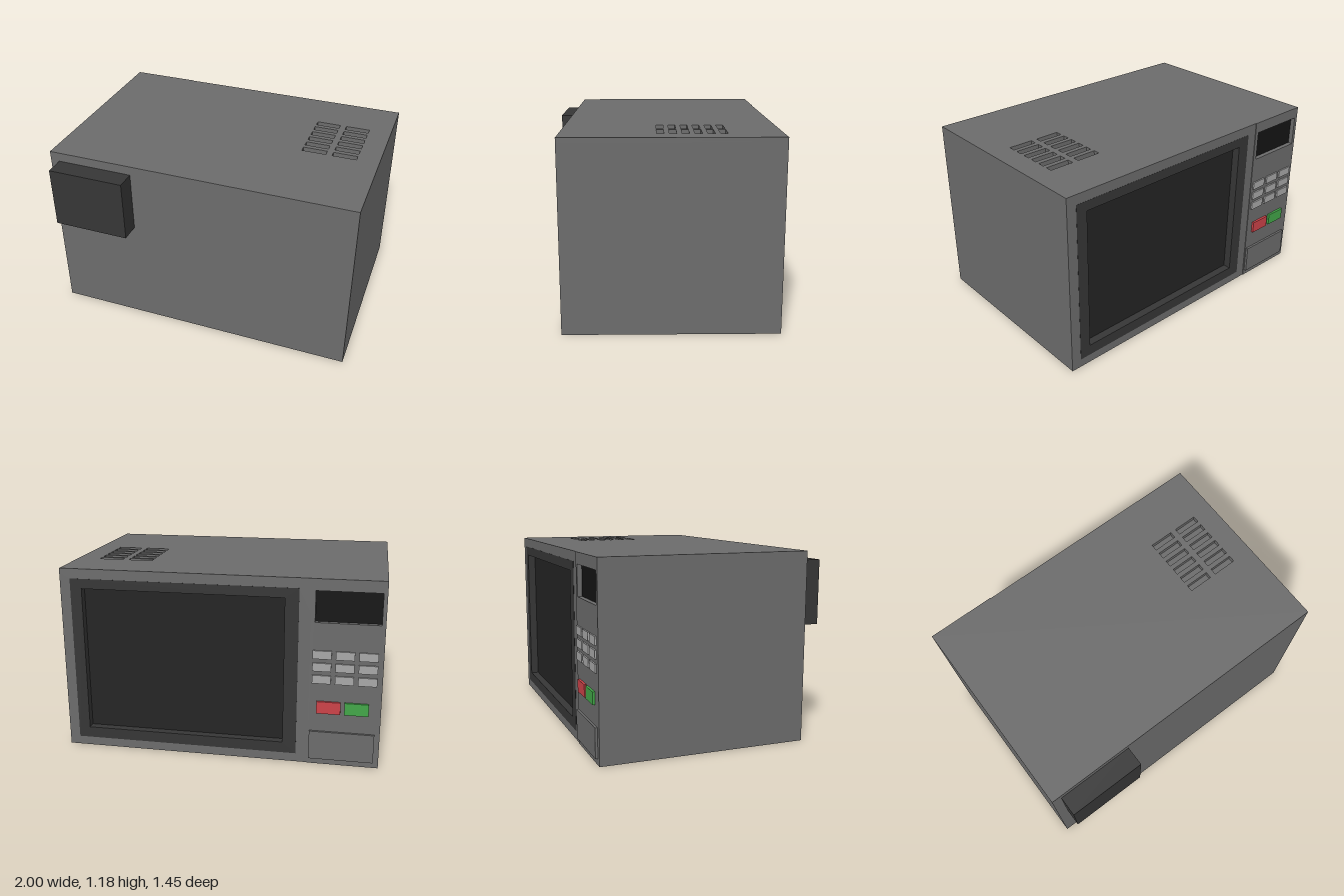
import * as THREE from 'three';

const paint = (color) => new THREE.MeshStandardMaterial({ color });
const BODY = paint(0x6c6c6c), DARK = paint(0x363636), GLASS = paint(0x242424);
const SCREEN = paint(0x141414), KEY = paint(0xa8a8a8);
const RED = paint(0xcc4248), GREEN = paint(0x42a648);

// Box given by its limits on each axis
function box(name, mat, [x0, x1], [y0, y1], [z0, z1]) {
  const mesh = new THREE.Mesh(new THREE.BoxGeometry(x1 - x0, y1 - y0, z1 - z0), mat);
  mesh.position.set((x0 + x1) / 2, (y0 + y1) / 2, (z0 + z1) / 2);
  mesh.name = name;
  return mesh;
}

// Rectangular plate with rectangular holes; rectangles are [x0, x1, y0, y1]
function plate(name, mat, rect, holes, depth) {
  const trace = (path, [x0, x1, y0, y1]) => {
    path.moveTo(x0, y0);
    path.lineTo(x1, y0);
    path.lineTo(x1, y1);
    path.lineTo(x0, y1);
    path.closePath();
    return path;
  };
  const shape = trace(new THREE.Shape(), rect);
  for (const h of holes) shape.holes.push(trace(new THREE.Path(), h));
  const mesh = new THREE.Mesh(new THREE.ExtrudeGeometry(shape, { depth, bevelEnabled: false }), mat);
  mesh.name = name;
  return mesh;
}

export function createModel() {
  const g = new THREE.Group();
  g.name = 'microwave';
  const H = 1.18, FACE = -0.705, END = 0.6, LID = 0.03, WALL = 0.06;
  const door = [-0.49, 0.935, 0.055, 1.117];
  const opening = [-0.405, 0.862, 0.125, 1.055];
  const display = [-0.976, -0.587, 0.915, 1.108];

  // Cabinet core
  g.add(box('cabinet', BODY, [-1, 1], [0, H - LID], [FACE + WALL, END]));

  // Top with two columns of recessed vent slots
  const slots = [];
  for (const x of [0.503, 0.7])
    for (let i = 0; i < 6; i++) slots.push([x, x + 0.157, -0.38 + i * 0.0742, -0.337 + i * 0.0742]);
  const lid = plate('ventedTop', BODY, [-1, 1, FACE, END], slots, LID);
  lid.rotation.x = Math.PI / 2;
  lid.position.y = H;
  g.add(lid);

  // Door side of the cabinet
  const face = plate('doorSide', BODY, [-1, 1, 0, H - LID], [door, display], WALL);
  face.position.z = FACE;
  g.add(face);

  // Door frame and recessed window
  const frame = plate('doorFrame', DARK, door, [opening], WALL);
  frame.position.z = FACE - 0.001;
  g.add(frame);
  g.add(box('doorWindow', GLASS, opening.slice(0, 2), opening.slice(2), [FACE + 0.05, FACE + WALL + 0.01]));

  // Control panel with recessed display
  const panel = plate('controlPanel', BODY, [-1, -0.56, 0, H], [display], 0.004);
  panel.position.z = FACE - 0.004;
  g.add(panel);
  g.add(box('display', SCREEN, display.slice(0, 2), display.slice(2), [FACE + 0.025, FACE + WALL + 0.01]));

  // Keypad
  const keypad = new THREE.Group();
  keypad.name = 'keypad';
  for (let r = 0; r < 3; r++)
    for (let c = 0; c < 3; c++) {
      const x = -0.968 + c * 0.138, y = 0.535 + r * 0.078;
      keypad.add(box('key', KEY, [x, x + 0.113], [y, y + 0.052], [-0.719, FACE]));
    }
  g.add(keypad);

  // Stop, start and door release buttons
  g.add(box('stopButton', RED, [-0.757, -0.611], [0.343, 0.42], [-0.724, FACE]));
  g.add(box('startButton', GREEN, [-0.927, -0.781], [0.343, 0.42], [-0.724, FACE]));
  g.add(box('doorButton', BODY, [-0.968, -0.571], [0.038, 0.222], [-0.724, FACE]));

  // Housing on the opposite side
  g.add(box('rearHousing', DARK, [-0.94, -0.44], [0.72, 1.12], [END, 0.725]));
  return g;
}
